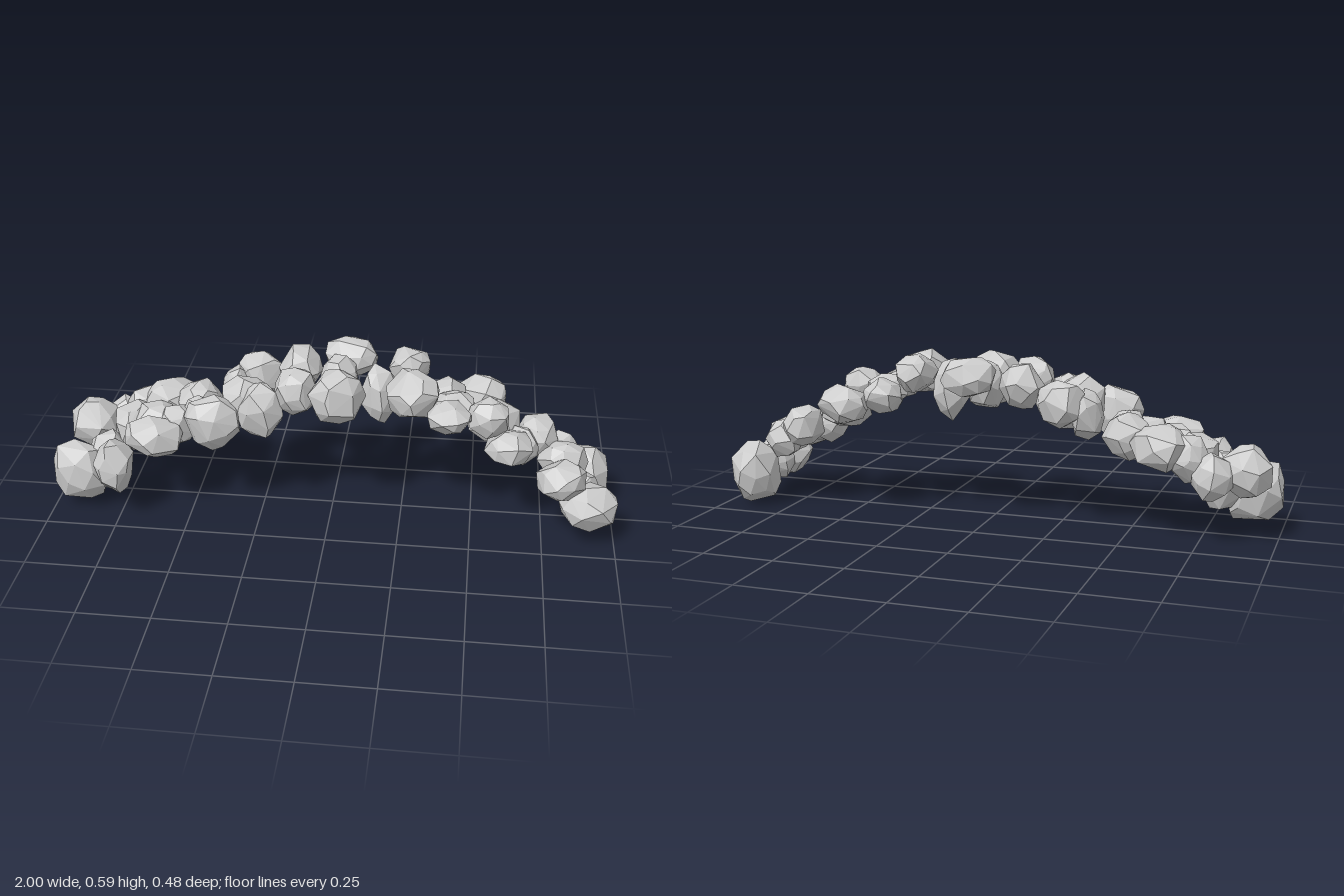
import * as THREE from 'three';
import { ConvexGeometry } from 'three/addons/geometries/ConvexGeometry.js';

// Each stone: x, y, z, half width, half height, half depth
const frontRow = [
  [-0.90, 0.14, 0.10, 0.10, 0.108, 0.08],
  [-0.76, 0.20, 0.155, 0.065, 0.095, 0.083],
  [-0.62, 0.31, 0.125, 0.10, 0.068, 0.085],
  [-0.41, 0.37, 0.115, 0.098, 0.10, 0.07],
  [-0.25, 0.415, 0.08, 0.088, 0.10, 0.068],
  [-0.12, 0.485, 0.065, 0.078, 0.085, 0.072],
  [0.025, 0.485, 0.09, 0.098, 0.095, 0.09],
  [0.28, 0.50, 0.06, 0.09, 0.08, 0.105],
  [0.41, 0.44, 0.115, 0.075, 0.053, 0.08],
  [0.54, 0.425, 0.078, 0.07, 0.067, 0.063],
  [0.615, 0.335, 0.105, 0.083, 0.06, 0.083],
  [0.80, 0.235, 0.14, 0.085, 0.068, 0.083],
  [0.90, 0.13, 0.14, 0.10, 0.085, 0.095],
];
const middleRow = [
  [-0.80, 0.175, 0.065, 0.075, 0.10, 0.073],
  [-0.72, 0.26, -0.02, 0.075, 0.09, 0.09],
  [-0.63, 0.30, 0.01, 0.08, 0.07, 0.08],
  [-0.55, 0.31, 0.05, 0.068, 0.075, 0.068],
  [-0.47, 0.33, 0.02, 0.073, 0.08, 0.053],
  [-0.30, 0.43, 0.04, 0.085, 0.09, 0.075],
  [0.015, 0.48, -0.055, 0.07, 0.085, 0.075],
  [0.165, 0.45, -0.01, 0.067, 0.113, 0.075],
  [0.42, 0.43, 0.015, 0.078, 0.055, 0.07],
  [0.56, 0.36, -0.04, 0.095, 0.07, 0.08],
  [0.66, 0.29, 0.02, 0.063, 0.075, 0.06],
  [0.81, 0.243, 0.01, 0.09, 0.065, 0.075],
  [0.885, 0.133, 0.037, 0.063, 0.075, 0.057],
];
const backRow = [
  [-0.89, 0.24, -0.07, 0.09, 0.09, 0.085],
  [-0.79, 0.23, -0.14, 0.07, 0.08, 0.063],
  [-0.71, 0.28, -0.12, 0.068, 0.085, 0.068],
  [-0.615, 0.315, -0.13, 0.105, 0.08, 0.10],
  [-0.495, 0.34, -0.09, 0.083, 0.08, 0.09],
  [-0.35, 0.40, -0.09, 0.058, 0.09, 0.075],
  [-0.27, 0.44, -0.13, 0.087, 0.085, 0.072],
  [-0.125, 0.49, -0.10, 0.078, 0.08, 0.083],
  [0.05, 0.52, -0.155, 0.092, 0.07, 0.077],
  [0.26, 0.515, -0.11, 0.072, 0.065, 0.08],
  [0.395, 0.425, -0.075, 0.07, 0.062, 0.083],
  [0.515, 0.397, -0.155, 0.088, 0.07, 0.083],
  [0.725, 0.293, -0.065, 0.07, 0.075, 0.085],
  [0.795, 0.24, -0.07, 0.077, 0.07, 0.058],
  [0.90, 0.115, -0.12, 0.083, 0.115, 0.093],
];

// Seeded generator keeps every stone repeatable
function seeded(seed) {
  let s = seed;
  return () => (s = (s * 16807) % 2147483647) / 2147483647;
}

// Faceted stone: hull of jittered points on a sphere, fitted to its half sizes
function stoneGeometry(rx, ry, rz, random) {
  const count = 26;
  const turn = random() * Math.PI * 2;
  const tilt = new THREE.Euler(random() * 3, random() * 3, random() * 3);
  const points = [];
  for (let i = 0; i < count; i++) {
    const h = 1 - (2 * i + 1) / count;
    const a = turn + i * 2.39996 + (random() - 0.5) * 0.8;
    const w = Math.sqrt(1 - h * h);
    const p = new THREE.Vector3(w * Math.cos(a), h, w * Math.sin(a));
    points.push(p.applyEuler(tilt).multiplyScalar(0.93 + random() * 0.14));
  }
  const geometry = new ConvexGeometry(points).center();
  const { max } = geometry.boundingBox;
  geometry.scale(rx / max.x, ry / max.y, rz / max.z);
  geometry.computeVertexNormals();
  return geometry;
}

export function createModel() {
  const model = new THREE.Group();
  model.name = 'stoneArch';
  const material = new THREE.MeshStandardMaterial({ color: 0xcccccc, flatShading: true });
  const random = seeded(7331);

  // Three rows of stones side by side along the arch
  const rows = { frontStones: frontRow, middleStones: middleRow, backStones: backRow };
  for (const [name, stones] of Object.entries(rows)) {
    const row = new THREE.Group();
    row.name = name;
    stones.forEach(([x, y, z, rx, ry, rz], i) => {
      const stone = new THREE.Mesh(stoneGeometry(rx, ry, rz, random), material);
      stone.name = `${name.slice(0, -1)}${i + 1}`;
      stone.position.set(x, y, z);
      row.add(stone);
    });
    model.add(row);
  }
  return model;
}
